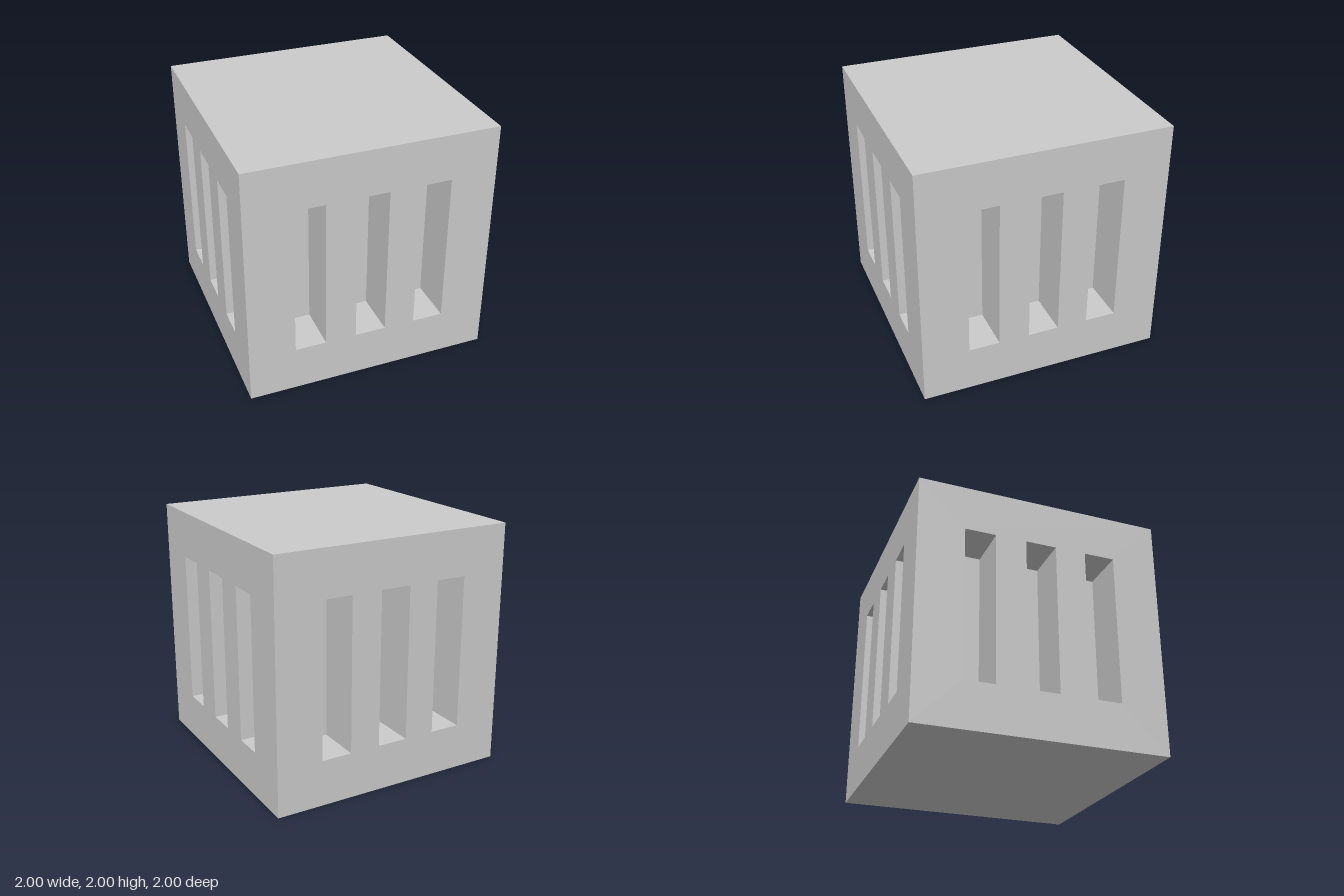
import * as THREE from 'three';

const HALF = 1, SLOT_W = 0.25, SLOT_H = 1.25, DEPTH = 0.375;
const SLOT_X = [-0.5, 0, 0.5];
const material = new THREE.MeshStandardMaterial({ color: 0xcccccc });

function addMesh(parent, name, geometry) {
  const mesh = new THREE.Mesh(geometry, material);
  mesh.name = name;
  parent.add(mesh);
  return mesh;
}

// Rectangle outline centred on (x, 0)
function rectangle(Type, x, w, h) {
  return new Type([[-1, -1], [1, -1], [1, 1], [-1, 1]].map(
    ([sx, sy]) => new THREE.Vector2(x + sx * w / 2, sy * h / 2)));
}

// Inside-out box without its +z face: the lining of one slot
function slotLining() {
  const g = new THREE.BoxGeometry(SLOT_W, SLOT_H, DEPTH);
  const kept = [...g.index.array].filter((_, i) => i < 24 || i >= 30);
  g.setIndex(kept.reverse());
  g.clearGroups();
  g.computeVertexNormals();
  return g;
}

// One side of the cube: flat face with three blind slots
function slottedSide(name) {
  const side = new THREE.Group();
  side.name = name;
  const outline = rectangle(THREE.Shape, 0, 2 * HALF, 2 * HALF);
  outline.holes = SLOT_X.map((x) => rectangle(THREE.Path, x, SLOT_W, SLOT_H));
  addMesh(side, 'face', new THREE.ShapeGeometry(outline)).position.z = HALF;
  const lining = slotLining();
  for (const x of SLOT_X) {
    addMesh(side, 'slot', lining).position.set(x, 0, HALF - DEPTH / 2);
  }
  return side;
}

export function createModel() {
  const model = new THREE.Group();
  model.name = 'slottedCube';

  // Four identical sides turned about the vertical axis
  ['frontSide', 'leftSide', 'backSide', 'rightSide'].forEach((name, i) => {
    const side = slottedSide(name);
    side.position.y = HALF;
    side.rotation.y = i * Math.PI / 2;
    model.add(side);
  });

  // Plain top and bottom
  const plate = new THREE.PlaneGeometry(2 * HALF, 2 * HALF);
  const top = addMesh(model, 'top', plate);
  top.rotation.x = -Math.PI / 2;
  top.position.y = 2 * HALF;
  addMesh(model, 'bottom', plate).rotation.x = Math.PI / 2;

  return model;
}
